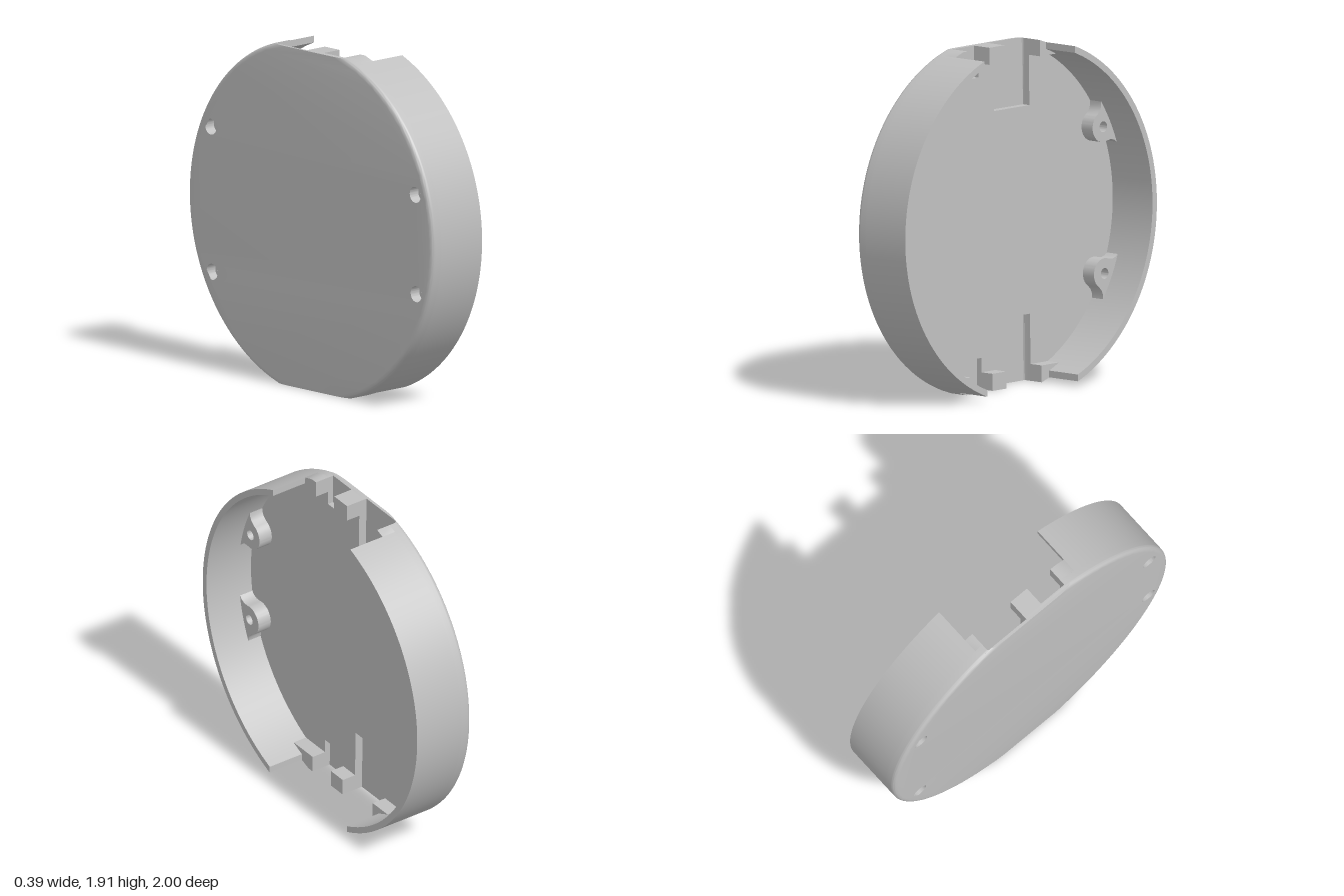
import * as THREE from 'three';
import { mergeGeometries, toCreasedNormals } from 'three/addons/utils/BufferGeometryUtils.js';

// Cross-sections are drawn as (a, b) with a = -z and b = height above the centre, extruded along x.
const FLAT = 0.955, INNER = 0.965, GAP = 0.36, FILLET = 0.026;
const BACK = -0.184, FLOOR = -0.12, STEP = -0.036, RIM = 0.183;
const BOSS_R = 0.905;
const BOSS_ANGLES = [0.468, -0.468, Math.PI - 0.314, Math.PI + 0.314];
// pockets along each flat: [a from, a to, inner height]
const BIG = { 1: [0.03, 0.31, 0.58], '-1': [0.02, 0.30, 0.58] };
const SMALL = [-0.26, -0.09, 0.78];

const edge = a => Math.min(FLAT, Math.sqrt(1 - a * a));
const vec = (x, y) => new THREE.Vector2(x, y);

function arc(r, from, to, n = 64) {
  return Array.from({ length: n + 1 }, (_, i) => {
    const t = from + (to - from) * i / n;
    return vec(r * Math.cos(t), r * Math.sin(t));
  });
}

function addHole(shape, angle, r) {
  const hole = new THREE.Path();
  hole.absarc(BOSS_R * Math.cos(angle), BOSS_R * Math.sin(angle), r, 0, Math.PI * 2, true);
  shape.holes.push(hole);
}

function extrude(shape, from, to, steps = 1) {
  const g = new THREE.ExtrudeGeometry(shape, {
    depth: to - from, steps, bevelEnabled: false, curveSegments: 24
  });
  return g.translate(0, 0, from);
}

// Edge of the plate along one flat, from a = GAP to a = -GAP, with pockets cut in
function flatPath(side, pockets) {
  const corner = Math.sqrt(1 - FLAT * FLAT);
  const pts = [vec(GAP, side * edge(GAP))];
  const covered = a => pockets.some(p => a > p[0] && a < p[1]);
  if (!covered(corner)) pts.push(vec(corner, side * FLAT));
  for (const [a0, a1, h] of pockets) {
    pts.push(vec(a1, side * edge(a1)), vec(a1, side * h), vec(a0, side * h), vec(a0, side * edge(a0)));
  }
  pts.push(vec(-corner, side * FLAT), vec(-GAP, side * edge(GAP)));
  return pts;
}

function plateShape(withBig, withSmall) {
  const pockets = s => [...(withBig ? [BIG[s]] : []), ...(withSmall ? [SMALL] : [])];
  const t = Math.acos(GAP);
  const shape = new THREE.Shape([
    ...arc(1, -t, t).slice(1, -1), ...flatPath(1, pockets(1)),
    ...arc(1, Math.PI - t, Math.PI + t).slice(1, -1), ...flatPath(-1, pockets(-1)).reverse()
  ]);
  BOSS_ANGLES.forEach(a => addHole(shape, a, 0.045));
  return shape;
}

// Round the back edge by pulling the outer circle inwards
function roundBack(g) {
  const p = g.attributes.position;
  for (let i = 0; i < p.count; i++) {
    const d = FILLET - (p.getZ(i) - BACK);
    if (d <= 0) continue;
    const limit = 1 - FILLET + Math.sqrt(Math.max(0, FILLET * FILLET - d * d));
    const a = p.getX(i), b = p.getY(i);
    if (Math.hypot(a, b) <= limit) continue;
    if (Math.abs(b) > 0.94) p.setX(i, Math.sign(a) * Math.sqrt(limit * limit - b * b));
    else {
      const k = limit / Math.hypot(a, b);
      p.setXY(i, a * k, b * k);
    }
  }
  return g;
}

export function createModel() {
  const model = new THREE.Group();
  const body = new THREE.Group();
  body.name = 'housing';
  model.add(body);
  const grey = new THREE.MeshStandardMaterial({ color: 0xbfbfbf });
  grey.name = 'light grey';

  const add = (name, g) => {
    g = toCreasedNormals(g.index ? g.toNonIndexed() : g, 0.55);
    g.rotateY(Math.PI / 2);
    const mesh = new THREE.Mesh(g, grey);
    mesh.name = name;
    body.add(mesh);
  };

  // Round plate in three layers, the pockets opening step by step
  add('backPlate', roundBack(mergeGeometries([
    extrude(plateShape(false, false), BACK, -0.168, 5),
    extrude(plateShape(true, false), -0.168, -0.153, 3),
    extrude(plateShape(true, true), -0.153, FLOOR)
  ])));

  // Two curved side walls
  const to = Math.acos(GAP), ti = Math.acos(GAP / INNER);
  for (const [name, turn] of [['rightWall', 0], ['leftWall', Math.PI]]) {
    const shape = new THREE.Shape([
      ...arc(1, turn - to, turn + to), ...arc(INNER, turn + ti, turn - ti)
    ]);
    add(name, extrude(shape, FLOOR, RIM));
  }

  // Raised blocks between the pockets at both flats
  for (const s of [1, -1]) {
    const [b0, b1] = BIG[s];
    const outlines = {
      middleBlock: [[SMALL[1], 0.86], [b0, 0.86], [b0, FLAT], [SMALL[1], FLAT]],
      rightBlock: [[b1, 0.86], [0.44, 0.86], [GAP, edge(GAP)], [b1, edge(b1)]],
      leftBlock: [[SMALL[0], 0.86], [-0.44, 0.86], [-GAP, edge(GAP)],
        [-0.297, FLAT], [SMALL[0], FLAT]]
    };
    for (const [name, pts] of Object.entries(outlines)) {
      const shape = new THREE.Shape(pts.map(([a, b]) => vec(a, s * b)));
      add((s > 0 ? 'top ' : 'bottom ') + name, extrude(shape, FLOOR, STEP));
    }
  }

  // Screw bosses blending into the walls
  const flare = [[0.925, 0.094], [0.945, 0.112], [0.956, 0.134], [0.97, 0.136]];
  BOSS_ANGLES.forEach((angle, i) => {
    const round = arc(0.085, Math.PI * 0.53, Math.PI * 1.47, 28).map(p => vec(p.x + BOSS_R, p.y));
    const pts = [
      ...flare.map(([x, y]) => vec(x, y)).reverse(), ...round,
      ...flare.map(([x, y]) => vec(x, -y)), vec(0.985, 0)
    ];
    const shape = new THREE.Shape(pts.map(p => p.rotateAround(vec(0, 0), angle)));
    addHole(shape, angle, 0.03);
    add('screwBoss' + (i + 1), extrude(shape, FLOOR, STEP));
  });

  // Slight lean, then stand on the ground
  body.rotation.z = 0.0125;
  body.updateMatrixWorld(true);
  const box = new THREE.Box3().setFromObject(body, true);
  body.position.set(-(box.min.x + box.max.x) / 2, -box.min.y, -(box.min.z + box.max.z) / 2);
  return model;
}
